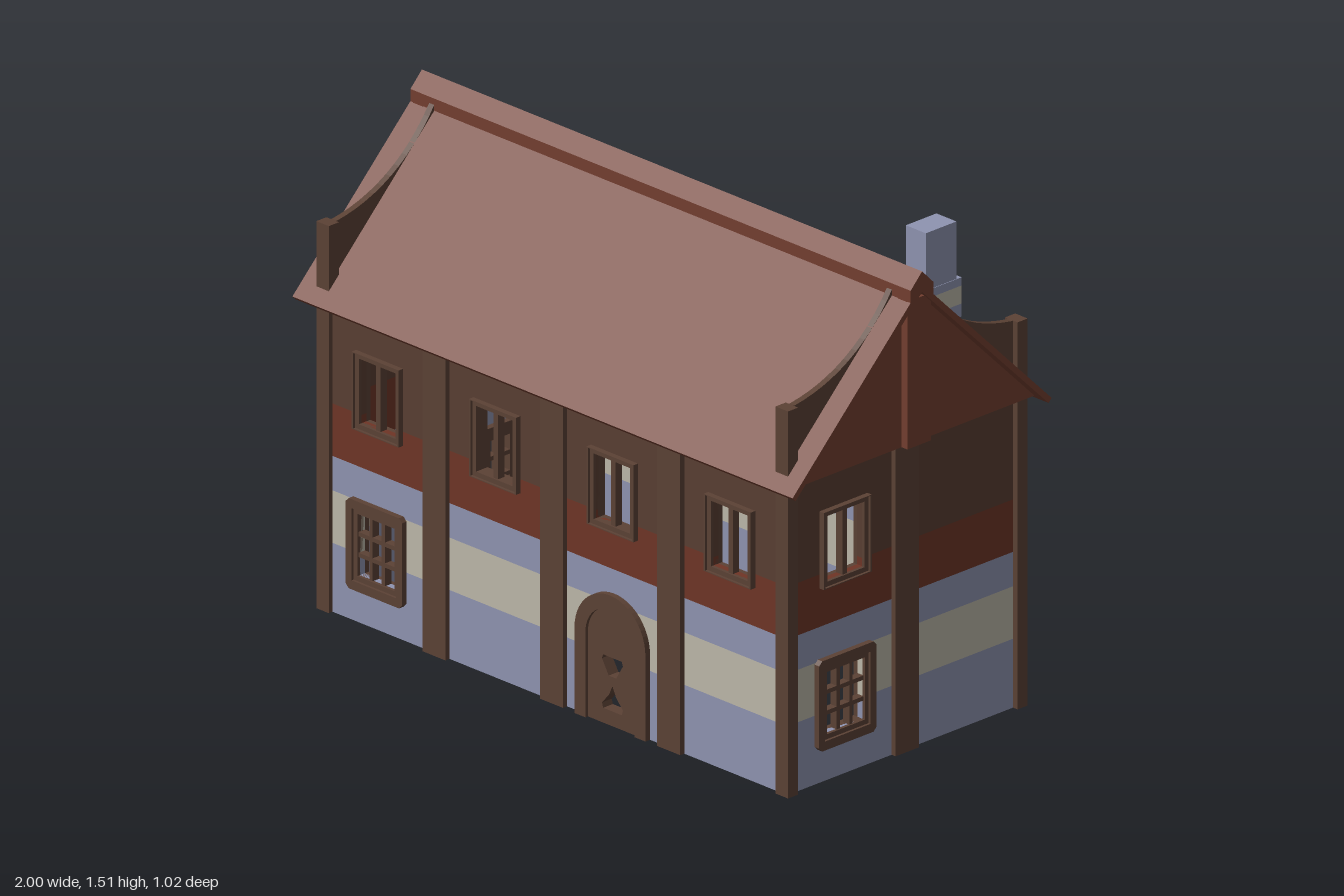
import * as THREE from 'three';

const mat = (name, color) => {
  const m = new THREE.MeshStandardMaterial({ color });
  m.name = name;
  return m;
};

export function createModel() {
  const blue = mat('blue plaster', 0x8f94b1);
  const cream = mat('cream plaster', 0xbdb8a9);
  const red = mat('red band', 0x6f3526);
  const roofRed = mat('roof red', 0x743f30);
  const wallBrown = mat('upper wall brown', 0x593e32);
  const timber = mat('timber brown', 0x5c4235);

  const house = new THREE.Group();
  house.name = 'house';

  const add = (parent, name, geo, m, x = 0, y = 0, z = 0) => {
    const mesh = new THREE.Mesh(geo, m);
    mesh.name = name;
    mesh.position.set(x, y, z);
    parent.add(mesh);
    return mesh;
  };
  // Box given by its limits on each axis
  const box = (parent, name, m, [x0, x1], [y0, y1], [z0, z1]) =>
    add(parent, name, new THREE.BoxGeometry(x1 - x0, y1 - y0, z1 - z0), m,
      (x0 + x1) / 2, (y0 + y1) / 2, (z0 + z1) / 2);
  const poly = (pts) => new THREE.Shape(pts.map(([x, y]) => new THREE.Vector2(x, y)));
  const extrude = (shape, depth) =>
    new THREE.ExtrudeGeometry(shape, { depth, bevelEnabled: false, curveSegments: 12 });
  const rect = (w, h, c = 0) => poly([
    [-w / 2 + c, -h / 2], [w / 2 - c, -h / 2], [w / 2, -h / 2 + c], [w / 2, h / 2 - c],
    [w / 2 - c, h / 2], [-w / 2 + c, h / 2], [-w / 2, h / 2 - c], [-w / 2, -h / 2 + c],
  ].filter((p, i) => c > 0 || i % 2 === 0));

  // Plaster bands from the ground up: [top, material]
  const bands = [[0.21, blue], [0.37, cream], [0.475, blue], [0.635, red], [0.95, wallBrown]];

  // Wall cut into cells by its bands and openings; the outer face is z = 0
  function wall(parent, length, holes) {
    const uniq = (a) => [...new Set(a)].sort((p, q) => p - q);
    const xs = uniq([-length / 2, length / 2, ...holes.flatMap((h) => [h[0], h[1]])]);
    const ys = uniq([0, ...bands.map((b) => b[0]), ...holes.flatMap((h) => [h[2], h[3]])]);
    for (let j = 0; j < ys.length - 1; j++) {
      const cy = (ys[j] + ys[j + 1]) / 2;
      const m = bands.find((b) => cy < b[0])[1];
      for (let i = 0; i < xs.length - 1; i++) {
        const cx = (xs[i] + xs[i + 1]) / 2;
        if (holes.some((h) => cx > h[0] && cx < h[1] && cy > h[2] && cy < h[3])) continue;
        box(parent, 'wallPanel', m, [xs[i], xs[i + 1]], [ys[j], ys[j + 1]], [-0.02, 0]);
      }
    }
  }

  // Framed window with evenly spaced glazing bars
  function windowUnit(parent, x, y, spec) {
    const g = new THREE.Group();
    g.name = spec.name;
    g.position.set(x, y, 0);
    parent.add(g);
    const { w, h, ow, oh, cols, rows, bar, corner } = spec;
    const ring = (W, H, c, iw, ih, z0, z1, name) => {
      const s = rect(W, H, c);
      s.holes.push(rect(iw, ih));
      add(g, name, extrude(s, z1 - z0), timber, 0, 0, z0);
    };
    ring(w, h, corner, ow + 0.03, oh + 0.03, -0.04, 0.018, 'windowFrame');
    ring(ow + 0.031, oh + 0.031, 0, ow, oh, -0.035, 0.01, 'windowSash');
    for (let i = 1; i < cols; i++) {
      const bx = -ow / 2 + (ow * i) / cols;
      box(g, 'mullion', timber, [bx - bar / 2, bx + bar / 2], [-oh / 2, oh / 2], [-0.02, 0.005]);
    }
    for (let i = 1; i < rows; i++) {
      const by = -oh / 2 + (oh * i) / rows;
      box(g, 'glazingBar', timber, [-ow / 2, ow / 2], [by - bar / 2, by + bar / 2], [-0.02, 0.005]);
    }
  }
  const upper = { name: 'upperWindow', w: 0.188, h: 0.235, ow: 0.146, oh: 0.2, cols: 2, rows: 1, bar: 0.018, corner: 0 };
  const lower = { name: 'lowerWindow', w: 0.225, h: 0.275, ow: 0.148, oh: 0.19, cols: 3, rows: 3, bar: 0.013, corner: 0.012 };
  const UY = 0.71, LY = 0.24;

  // One side of the house: wall, windows and intermediate posts
  function side(name, length, angle, dist, uppers, lowers, posts, extraHoles = []) {
    const g = new THREE.Group();
    g.name = name;
    g.rotation.y = angle;
    g.position.set(Math.sin(angle) * dist, 0, Math.cos(angle) * dist);
    house.add(g);
    const hole = (x, y, s) => [x - s.ow / 2, x + s.ow / 2, y - s.oh / 2, y + s.oh / 2];
    wall(g, length, [
      ...uppers.map((x) => hole(x, UY, upper)),
      ...lowers.map((x) => hole(x, LY, lower)), ...extraHoles]);
    uppers.forEach((x) => windowUnit(g, x, UY, upper));
    lowers.forEach((x) => windowUnit(g, x, LY, lower));
    posts.forEach((x) => box(g, 'wallPost', timber, [x - 0.046, x + 0.046], [0, 0.95], [-0.03, 0.016]));
    return g;
  }
  const DX = 0.234;
  const front = side('frontWall', 1.85, 0, 0.455, [-0.705, -0.236, 0.234, 0.703], [-0.71],
    [-0.472, -0.002, 0.467], [[DX - 0.05, DX + 0.05, 0.035, 0.225]]);
  side('backWall', 1.85, Math.PI, 0.455, [-0.703, 0.236], [], [-0.467, 0.002, 0.472]);
  side('rightEndWall', 0.91, Math.PI / 2, 0.925, [-0.235], [-0.235], [0]);
  side('leftEndWall', 0.91, -Math.PI / 2, 0.925, [-0.235], [-0.235], [0]);

  // Arched door with an hourglass opening
  const arch = (r, spring) => {
    const s = new THREE.Shape();
    s.moveTo(-r, 0);
    s.lineTo(r, 0);
    s.lineTo(r, spring);
    s.absarc(0, spring, r, 0, Math.PI, false);
    s.lineTo(-r, 0);
    return s;
  };
  const jamb = poly([[-0.142, 0], [-0.098, 0], [-0.098, 0.26]]);
  jamb.absarc(0, 0.26, 0.098, Math.PI, 0, true);
  [[0.098, 0], [0.142, 0], [0.142, 0.26]].forEach(([x, y]) => jamb.lineTo(x, y));
  jamb.absarc(0, 0.26, 0.142, 0, Math.PI, false);
  jamb.lineTo(-0.142, 0);
  add(front, 'doorFrame', extrude(jamb, 0.058), timber, DX, 0, -0.04);
  const leaf = arch(0.098, 0.26);
  leaf.holes.push(
    poly([[-0.037, 0.208], [0.037, 0.208], [0.042, 0.195], [0.015, 0.15], [-0.015, 0.15], [-0.042, 0.195]]),
    poly([[0, 0.122], [0.014, 0.092], [0.042, 0.06], [0.037, 0.045], [-0.037, 0.045], [-0.042, 0.06], [-0.014, 0.092]]));
  add(front, 'doorLeaf', extrude(leaf, 0.038), timber, DX, 0, -0.03);

  // Roof slabs and ridge cap as one cross-section run along x
  const roof = poly([
    [0.508, 0.944], [0.045, 1.4], [0.045, 1.437], [0, 1.483], [-0.045, 1.437], [-0.045, 1.4],
    [-0.508, 0.944], [-0.496, 0.932], [0, 1.42], [0.496, 0.932]]);
  const roofMesh = add(house, 'roof', extrude(roof, 2), roofRed, -1, 0, 0);
  roofMesh.rotation.y = Math.PI / 2;

  // Curved wing rising from each corner post to the ridge
  const wing = poly([[0.44, 0.97], [0.44, 1.18]]);
  wing.lineTo(0.425, 1.18);
  wing.bezierCurveTo(0.28, 1.2, 0.14, 1.27, 0.04, 1.425);
  wing.lineTo(0.03, 1.4);

  for (const s of [-1, 1]) {
    // Projecting gable with its post
    const gable = add(house, 'gable', extrude(poly([[-0.475, 0.95], [0.475, 0.95], [0, 1.418]]), 0.045),
      roofRed, s > 0 ? 0.92 : -0.965);
    gable.rotation.y = Math.PI / 2;
    const gx = [0.95 * s, 0.988 * s].sort((a, b) => a - b);
    box(house, 'gablePost', roofRed, gx, [0.95, 1.4], [-0.046, 0.046]);
    for (const t of [-1, 1]) {
      const zs = [0.43 * t, 0.47 * t].sort((a, b) => a - b);
      const xs = [0.893 * s, 0.943 * s].sort((a, b) => a - b);
      box(house, 'cornerPost', timber, xs, [0, 1.18], zs);
      const w = add(house, 'gableWing', extrude(wing, 0.02), timber, 0.915 * s + 0.01 * t, 0, 0);
      w.rotation.y = -t * Math.PI / 2;
    }
  }

  // Chimney: slim stack over a wider banded shoulder with two cut corners
  box(house, 'chimneyStack', blue, [0.78, 0.86], [1.14, 1.51], [-0.272, -0.152]);
  const shoulder = poly([[0.757, 0.155], [0.78, 0.13], [0.862, 0.13], [0.862, 0.29], [0.78, 0.29], [0.757, 0.265]]);
  [[1.215, 1.255, blue], [1.255, 1.31, cream], [1.31, 1.335, blue]].forEach(([y0, y1, m]) => {
    const c = add(house, 'chimneyShoulder', extrude(shoulder, y1 - y0), m, 0, y0, 0);
    c.rotation.x = -Math.PI / 2;
  });

  // Rotated extrusions: the roof section is symmetric, so only the group is returned
  return house;
}
